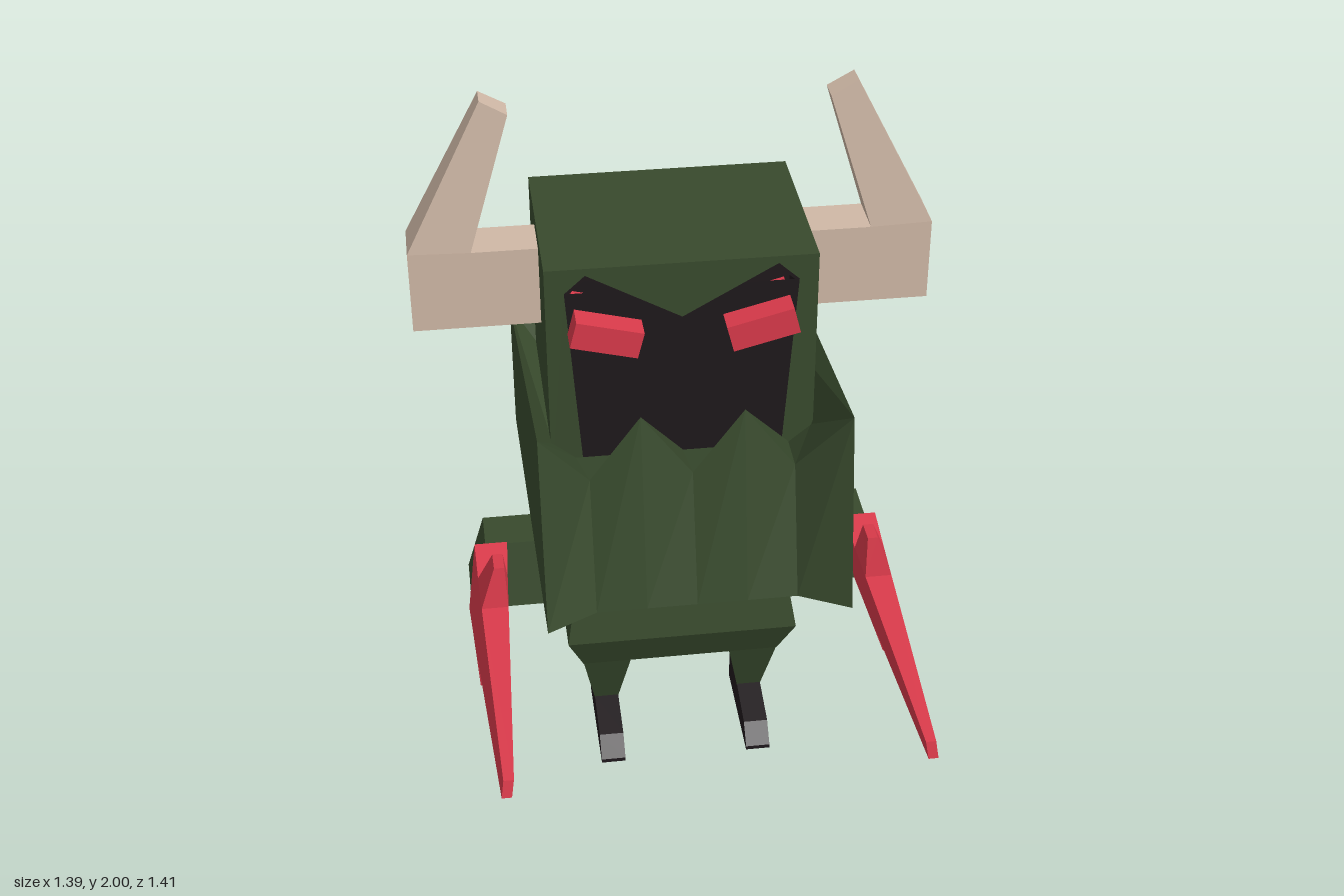
import * as THREE from 'three';

const mat = (color) => new THREE.MeshStandardMaterial({ color, flatShading: true });

// Closed solid through rings of [x, y, z] points, bottom ring first, counterclockwise from above
function loft(rings, capTop = true) {
  const pos = [];
  const n = rings[0].length;
  const mid = (r) => [0, 1, 2].map((k) => r.reduce((s, p) => s + p[k], 0) / n);
  const tri = (...pts) => pts.forEach((p) => pos.push(...p));
  for (let i = 0; i < n; i++) {
    const j = (i + 1) % n;
    for (let r = 0; r < rings.length - 1; r++) {
      const a = rings[r], b = rings[r + 1];
      tri(a[i], a[j], b[j]);
      tri(a[i], b[j], b[i]);
    }
    const first = rings[0], last = rings[rings.length - 1];
    tri(mid(first), first[j], first[i]);
    if (capTop) tri(mid(last), last[i], last[j]);
  }
  const geo = new THREE.BufferGeometry();
  geo.setAttribute('position', new THREE.Float32BufferAttribute(pos, 3));
  geo.computeVertexNormals();
  return geo;
}

const rect = (y, x0, x1, z0, z1) => [[x0, y, z1], [x1, y, z1], [x1, y, z0], [x0, y, z0]];

// Ring from its +x half, running from the front centre to the back centre
const mirrored = (half) => [...half, ...half.slice(1, -1).reverse().map(([x, y, z]) => [-x, y, z])];

const outline = (pts) => new THREE.Shape(pts.map(([x, y]) => new THREE.Vector2(x, y)));

function extrude(shape, depth, z = 0) {
  return new THREE.ExtrudeGeometry(shape, { depth, bevelEnabled: false }).translate(0, 0, z);
}

// Move every vertex by a rule, then refresh the normals
function reshape(geo, rule) {
  const p = geo.attributes.position;
  const v = new THREE.Vector3();
  for (let i = 0; i < p.count; i++) {
    rule(v.fromBufferAttribute(p, i));
    p.setXYZ(i, v.x, v.y, v.z);
  }
  geo.computeVertexNormals();
  return geo;
}

export function createModel() {
  const model = new THREE.Group();
  const green = mat(0x384a2d);
  const black = mat(0x1e181b);
  const red = mat(0xd93a4a);
  const bone = mat(0xcfb8a6);
  const add = (name, geo, material, parent = model) => {
    const mesh = new THREE.Mesh(geo, material);
    mesh.name = name;
    parent.add(mesh);
    return mesh;
  };

  // Head: solid back with a framed opening in front
  add('head', new THREE.BoxGeometry(0.71, 0.63, 0.42).translate(0, 1.315, -0.37), green);
  const face = (inset) => {
    const half = [[0.27, 1.05], [0.305, 1.56], [0.25, 1.61]].map(([x, y]) => [x - inset, y - inset]);
    return [...half, [0, 1.47 - inset], ...half.map(([x, y]) => [-x, y]).reverse()];
  };
  const frame = outline([[-0.355, 1], [0.355, 1], [0.355, 1.63], [-0.355, 1.63]]);
  frame.holes.push(outline(face(0)));
  add('headFrame', extrude(frame, 0.1, -0.16), green);

  // Dark lining and back of the face opening
  const lining = outline(face(0));
  lining.holes.push(outline(face(0.006)));
  add('faceLining', extrude(lining, 0.1, -0.16), black);
  add('facePanel', extrude(outline(face(0)), 0.01, -0.165), black);

  // Collar with a jagged front rim and a slope falling inward to the head
  const base = mirrored([
    [0, 0.76, 0.245], [0.135, 0.76, 0.245], [0.27, 0.76, 0.245], [0.405, 0.76, 0.315],
    [0.42, 0.76, -0.705], [0.27, 0.76, -0.665], [0.135, 0.76, -0.665], [0, 0.76, -0.665],
  ]);
  const rim = mirrored([
    [0, 1.12, 0.145], [0.135, 1.305, 0.145], [0.27, 1.12, 0.145], [0.405, 1.305, 0.22],
    [0.42, 1.155, -0.705], [0.27, 1.12, -0.625], [0.135, 1.14, -0.66], [0, 1.14, -0.665],
  ]);
  const inner = mirrored([
    [0, 1.05, -0.065], [0.17, 1.05, -0.065], [0.29, 1.05, -0.065], [0.35, 1.1, -0.065],
    [0.35, 1.1, -0.575], [0.27, 1.1, -0.575], [0.135, 1.1, -0.575], [0, 1.1, -0.575],
  ]);
  add('collar', loft([base, rim, inner]), green);

  // Torso
  add('torso', loft([
    rect(0.28, -0.285, 0.285, -0.405, -0.115),
    rect(0.4, -0.33, 0.33, -0.45, -0.06),
    rect(0.77, -0.27, 0.27, -0.38, -0.12),
  ]), green);

  // Paired parts, made on the +x side and mirrored
  for (const side of [1, -1]) {
    const half = new THREE.Group();
    half.name = side > 0 ? 'leftParts' : 'rightParts';
    half.scale.x = side;
    model.add(half);

    // Leg
    add('leg', loft([
      rect(0.09, 0.18, 0.25, -0.33, -0.18),
      rect(0.285, 0.145, 0.285, -0.405, -0.115),
    ]), green, half);

    // Foot: side profile (z, y) turned to run along x
    const sole = outline([[-0.33, 0], [0.01, 0], [0.01, 0.012], [-0.04, 0.065], [-0.18, 0.095], [-0.33, 0.095]]);
    add('foot', extrude(sole, 0.07).rotateY(-Math.PI / 2).translate(0.25, 0, 0), black, half);

    // Arm
    add('arm', loft([
      rect(0.49, 0.2, 0.595, -0.36, -0.15),
      rect(0.685, 0.2, 0.545, -0.32, -0.19),
    ]), green, half);

    // Blade with crossguard: side profile (z, y), thinner at the tips and leaning outward below
    const blade = outline([
      [-0.19, 0.69], [-0.15, 0.495], [-0.03, 0.5], [0, 0.395], [0.07, 0.39], [0.09, 0.51],
      [0.71, 0.565], [0.7, 0.615], [0.065, 0.66], [0.045, 0.78], [-0.025, 0.775], [-0.06, 0.67],
    ]);
    const bladeGeo = extrude(blade, 2, -1).rotateY(-Math.PI / 2);
    reshape(bladeGeo, (v) => {
      const guardTip = Math.abs(v.y - 0.585) > 0.15;
      const thick = guardTip ? 0.014 : THREE.MathUtils.mapLinear(v.z, -0.19, 0.71, 0.046, 0.013);
      v.x = 0.545 - (v.y - 0.585) * 0.15 + Math.sign(v.x) * thick;
    });
    add('blade', bladeGeo, red, half);

    // Horn: front profile, narrowing in depth towards the tip
    const horn = outline([
      [0.35, 1.365], [0.695, 1.365], [0.695, 1.595], [0.485, 2], [0.415, 1.96], [0.53, 1.59], [0.35, 1.59],
    ]);
    const hornGeo = reshape(extrude(horn, 2, -1), (v) => {
      const t = THREE.MathUtils.clamp((v.y - 1.595) / 0.4, 0, 1);
      v.z = -0.318 + Math.sign(v.z) * THREE.MathUtils.lerp(0.066, 0.031, t);
    });
    add('horn', hornGeo, bone, half);

    // Slanted eye
    const eye = add('eye', new THREE.BoxGeometry(0.18, 0.075, 0.17), red, half);
    eye.position.set(0.203, 1.455, -0.075);
    eye.rotation.z = 0.25;
  }

  return model;
}
